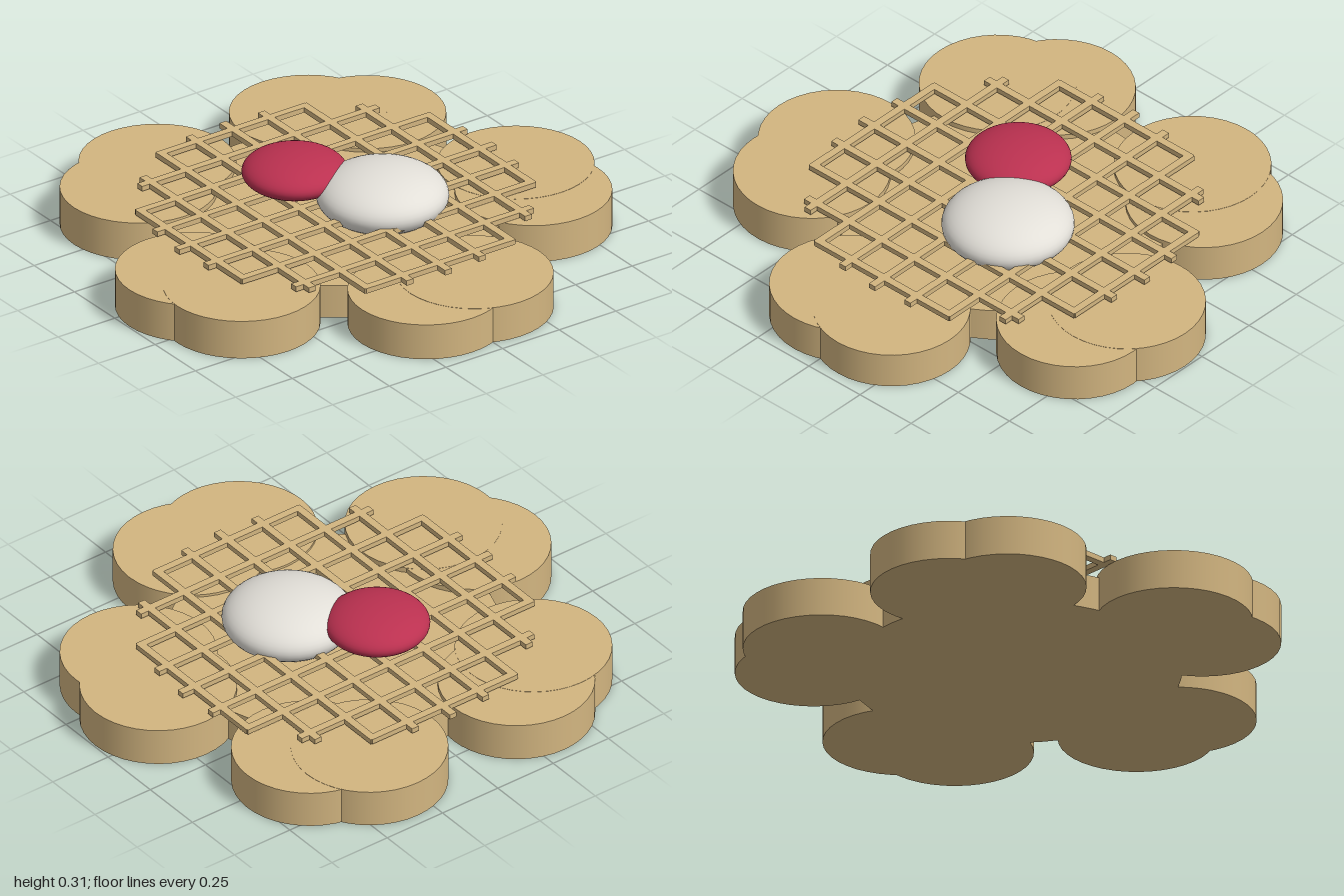
import * as THREE from 'three';

const mat = (name, color) => {
  const m = new THREE.MeshStandardMaterial({ color });
  m.name = name;
  return m;
};

export function createModel() {
  const waffle = mat('waffle tan', 0xd2b580);
  const cream = mat('cream white', 0xe2dfd8);
  const berry = mat('berry red', 0xbb3150);

  const model = new THREE.Group();
  model.name = 'flowerWaffle';
  const CX = -0.035; // centre of the flower and lattice

  const add = (parent, name, geometry, material, x, y, z) => {
    const mesh = new THREE.Mesh(geometry, material);
    mesh.name = name;
    mesh.position.set(x, y, z);
    parent.add(mesh);
    return mesh;
  };
  const group = (name, x) => {
    const g = new THREE.Group();
    g.name = name;
    g.position.x = x;
    model.add(g);
    return g;
  };

  // Waffle base: a core disc joining five petals, each made of two round lobes
  const base = group('waffleBase', CX);
  add(base, 'core', new THREE.CylinderGeometry(0.605, 0.605, 0.13, 48), waffle, 0, 0.065, 0);
  const heights = [0.14, 0.15, 0.15, 0.146, 0.148];
  heights.forEach((h, i) => {
    const a = (i * Math.PI * 2) / 5;
    for (const side of [-1, 1]) {
      const x = 0.712 * Math.cos(a) - side * 0.107 * Math.sin(a);
      const z = 0.712 * Math.sin(a) + side * 0.107 * Math.cos(a);
      const top = h - (side > 0 ? 0.001 : 0);
      add(base, 'petalLobe', new THREE.CylinderGeometry(0.284, 0.284, top, 40), waffle, x, top / 2, z);
    }
  });

  // Lattice: crossing bars trimmed to a round outline
  const lattice = group('lattice', CX);
  const halfLengths = [0.7, 0.685, 0.648, 0.525, 0.328];
  for (let i = -4; i <= 4; i++) {
    const length = 2 * halfLengths[Math.abs(i)];
    const offset = i * 0.159;
    add(lattice, 'barAcross', new THREE.BoxGeometry(length, 0.02, 0.03), waffle, 0, 0.168, offset);
    add(lattice, 'barAlong', new THREE.BoxGeometry(0.03, 0.02, length), waffle, offset, 0.168, 0);
  }

  // Toppings: flattened scoops
  const ball = new THREE.SphereGeometry(1, 40, 24);
  add(model, 'creamScoop', ball, cream, 0.08, 0.195, -0.125).scale.set(0.24, 0.109, 0.24);
  add(model, 'berryScoop', ball, berry, -0.188, 0.236, 0.072).scale.set(0.192, 0.073, 0.192);

  return model;
}
